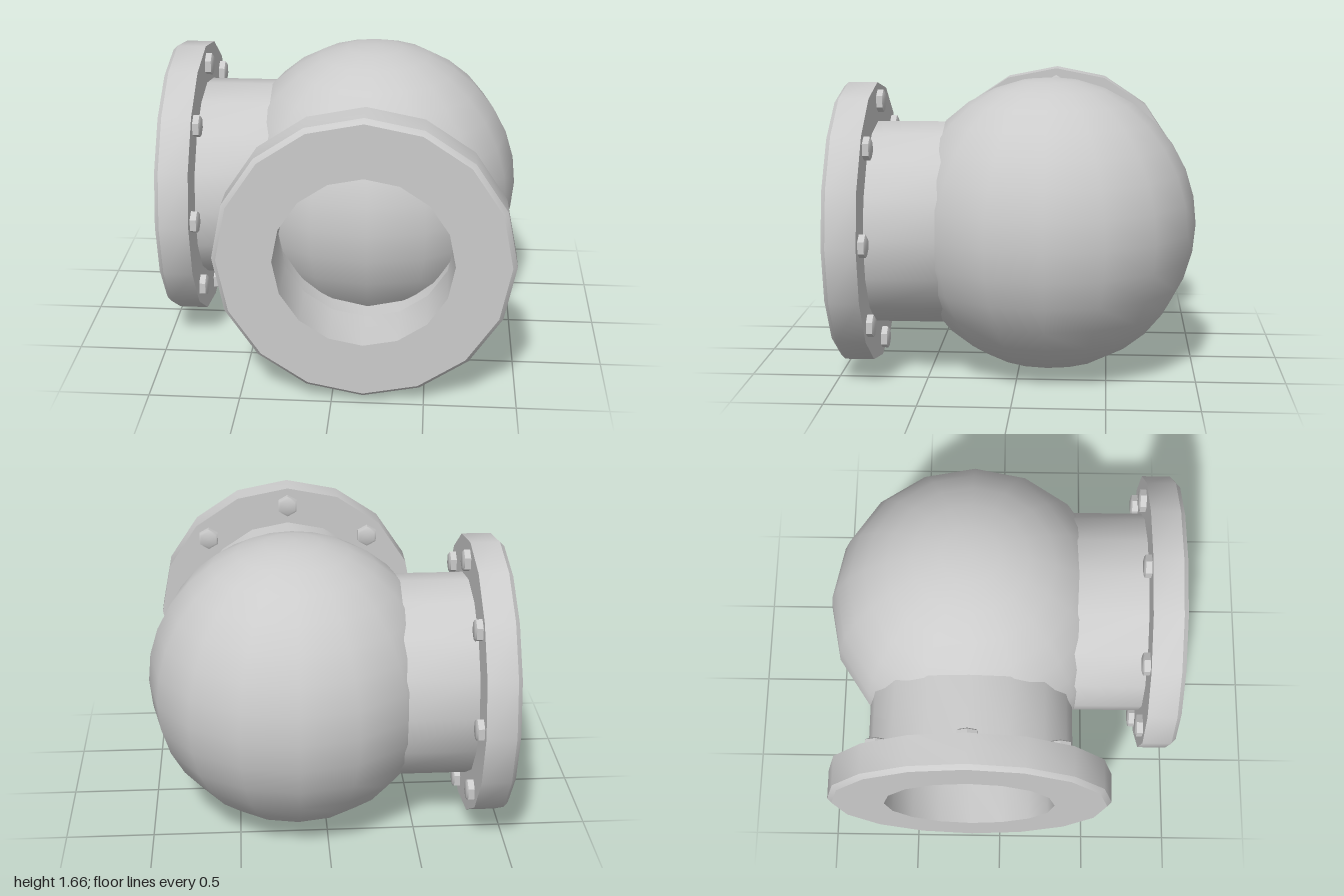
import * as THREE from 'three';
import { toCreasedNormals } from 'three/addons/utils/BufferGeometryUtils.js';

const SIDES = 16, RADIUS = 0.832, OFFSET = 0.17;

// Spin a [radius, height] profile and lay its axis along +z
function turned(profile, sides) {
  const points = profile.map(([r, h]) => new THREE.Vector2(r, h));
  const geometry = new THREE.LatheGeometry(points, sides).rotateX(Math.PI / 2);
  return toCreasedNormals(geometry, 0.6);
}

export function createModel() {
  const model = new THREE.Group();
  const material = new THREE.MeshStandardMaterial({ color: 0xcccccc });

  function add(parent, name, geometry) {
    const mesh = new THREE.Mesh(geometry, material);
    mesh.name = name;
    parent.add(mesh);
    return mesh;
  }

  // Spherical body
  const body = add(model, 'sphereBody', new THREE.SphereGeometry(RADIUS, SIDES, 16));
  body.position.set(OFFSET, RADIUS, -OFFSET);

  // Hollow pipe with a chamfered flange, running into the sphere
  const pipeGeometry = turned([
    [0.58, 0.3], [0.58, 0.81], [0.8, 0.81], [0.8, 0.975], [0.775, 1],
    [0.48, 1], [0.48, 0.67], [0.52, 0.67], [0.52, 0.3],
  ], SIDES);

  // Hex bolt head pointing back from the flange, with a small chamfer
  const boltGeometry = turned([
    [0, -0.042], [0.05, -0.042], [0.064, -0.034], [0.064, 0.01],
  ], 6);

  function addBranch(name) {
    const branch = new THREE.Group();
    branch.name = name;
    add(branch, 'flangedPipe', pipeGeometry);
    for (let i = 0; i < 8; i++) {
      const a = i * Math.PI / 4;
      const bolt = add(branch, 'bolt', boltGeometry);
      bolt.position.set(0.695 * Math.cos(a), 0.695 * Math.sin(a), 0.81);
    }
    model.add(branch);
    return branch;
  }

  // Two identical branches at a right angle
  addBranch('frontBranch').position.set(OFFSET, RADIUS, 0);
  const side = addBranch('sideBranch');
  side.position.set(0, RADIUS, -OFFSET);
  side.rotation.y = -Math.PI / 2;

  return model;
}
